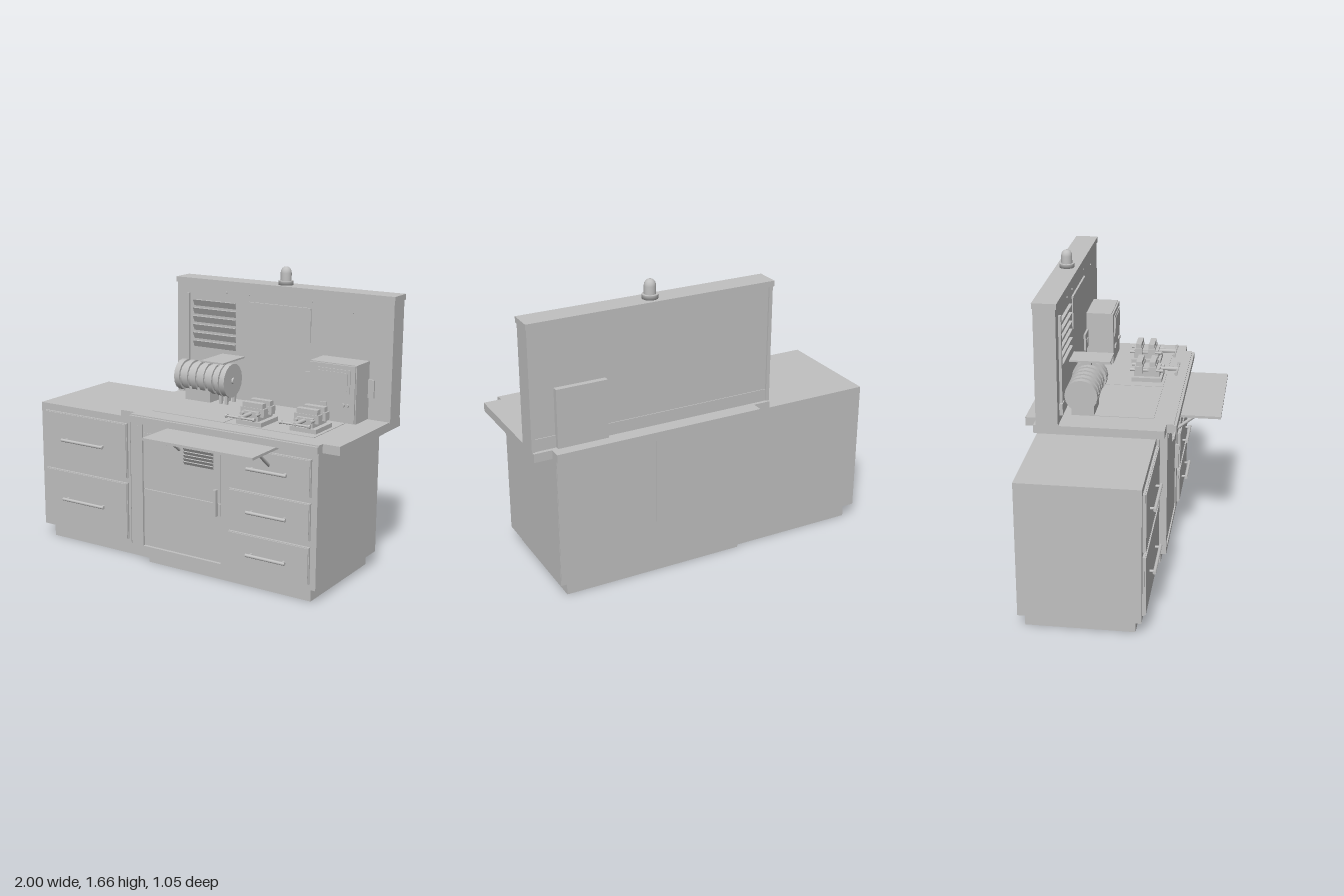
import * as THREE from 'three';

export function createModel() {
  const root = new THREE.Group();
  root.name = 'workbench';
  const grey = new THREE.MeshStandardMaterial({ color: 0xc0c0c0 });
  grey.name = 'light grey';

  const add = (name, geometry, parent = root) => {
    const mesh = new THREE.Mesh(geometry, grey);
    mesh.name = name;
    parent.add(mesh);
    return mesh;
  };
  // Box given by its lower and upper limits on each axis
  const box = (name, x0, x1, y0, y1, z0, z1, parent = root) => {
    const m = add(name, new THREE.BoxGeometry(x1 - x0, y1 - y0, z1 - z0), parent);
    m.position.set((x0 + x1) / 2, (y0 + y1) / 2, (z0 + z1) / 2);
    return m;
  };
  // Rod between two points
  const rod = (name, a, b, r, parent = root) => {
    const p = new THREE.Vector3(...a), q = new THREE.Vector3(...b);
    const m = add(name, new THREE.CylinderGeometry(r, r, p.distanceTo(q), 16), parent);
    m.position.copy(p).add(q).multiplyScalar(0.5);
    m.quaternion.setFromUnitVectors(new THREE.Vector3(0, 1, 0), q.sub(p).normalize());
    return m;
  };
  const group = (name) => {
    const g = new THREE.Group();
    g.name = name;
    root.add(g);
    return g;
  };
  // Drawer front with a softened edge and a bar handle
  const drawer = (x0, x1, y0, y1, z, hx0, hx1, hy) => {
    const g = group('drawer');
    box('drawerFront', x0, x1, y0, y1, z, z + 0.012, g);
    box('drawerFace', x0 + 0.004, x1 - 0.004, y0 + 0.004, y1 - 0.004, z + 0.01, z + 0.018, g);
    rod('handleBar', [hx0, hy, z + 0.045], [hx1, hy, z + 0.045], 0.009, g);
    for (const x of [hx0 + 0.02, hx1 - 0.02])
      rod('handlePost', [x, hy, z], [x, hy, z + 0.045], 0.007, g);
  };
  // Row of slanted slats facing downward
  const louvers = (name, x0, x1, yTop, count, pitch, h, d, z) => {
    const s = new THREE.Shape();
    s.moveTo(0, 0);
    s.lineTo(0, -h);
    s.lineTo(-d, 0);
    s.closePath();
    const g = group(name);
    for (let i = 0; i < count; i++) {
      const m = add('slat', new THREE.ExtrudeGeometry(s, { depth: x1 - x0, bevelEnabled: false }), g);
      m.rotation.y = Math.PI / 2;
      m.position.set(x0, yTop - i * pitch, z);
    }
  };

  // Side cabinet
  box('sidePlinth', -0.955, -0.22, 0, 0.08, -0.41, 0.165);
  box('sideCabinet', -1, -0.355, 0.08, 0.83, -0.44, 0.2);
  box('fillerCabinet', -0.355, -0.265, 0.08, 0.83, -0.44, 0.195);
  box('fillerPanel', -0.3, -0.27, 0.105, 0.79, 0.19, 0.21);
  drawer(-0.965, -0.37, 0.47, 0.79, 0.2, -0.82, -0.52, 0.635);
  drawer(-0.965, -0.37, 0.105, 0.44, 0.2, -0.82, -0.52, 0.275);

  // Main cabinet
  box('mainPlinth', -0.22, 0.825, 0, 0.08, -0.43, 0.215);
  box('mainCabinet', -0.265, 0.87, 0.08, 0.83, -0.456, 0.23);
  box('doorPost', -0.265, -0.235, 0.08, 0.83, 0.2, 0.25);
  box('drawerColumn', 0.285, 0.87, 0.08, 0.83, 0.2, 0.25);
  box('bottomRail', -0.235, 0.285, 0.08, 0.105, 0.2, 0.25);
  box('lowerDoor', -0.23, 0.28, 0.11, 0.443, 0.22, 0.243);
  box('upperDoor', -0.23, 0.28, 0.448, 0.82, 0.22, 0.246);
  box('doorLabel', -0.22, -0.07, 0.72, 0.77, 0.245, 0.249);
  box('doorHandle', 0.245, 0.262, 0.375, 0.525, 0.24, 0.268);
  louvers('doorVent', 0.045, 0.235, 0.745, 6, 0.019, 0.018, 0.012, 0.246);
  for (const [y0, y1, hy] of [[0.585, 0.788, 0.69], [0.35, 0.553, 0.45], [0.11, 0.315, 0.21]])
    drawer(0.34, 0.835, y0, y1, 0.25, 0.47, 0.71, hy);
  box('backPanelRight', -0.263, 0.308, 0.082, 0.83, -0.46, -0.455);
  box('backPanelLeft', 0.312, 0.868, 0.082, 0.83, -0.46, -0.455);

  // Worktop with narrower front and rear lips
  box('worktop', -0.383, 0.988, 0.83, 0.878, -0.46, 0.245);
  box('frontLip', -0.285, 0.89, 0.828, 0.878, 0.24, 0.285);
  box('frontEdge', -0.285, 0.89, 0.835, 0.872, 0.28, 0.3);
  box('rearLip', -0.285, 0.89, 0.83, 0.878, -0.523, -0.45);
  box('leftMat', -0.22, 0.25, 0.877, 0.881, -0.26, 0.17);
  box('rightMat', 0.255, 0.8, 0.877, 0.881, -0.26, 0.17);

  // Pull-out tray and braces
  box('tray', -0.035, 0.645, 0.818, 0.832, 0.24, 0.522);
  for (const x of [0.015, 0.588])
    rod('trayBrace', [x, 0.815, 0.38], [x, 0.71, 0.25], 0.009);

  // Backboard
  box('backboard', -0.387, 0.992, 0.87, 1.53, -0.435, -0.325);
  box('backboardCap', -0.392, 0.997, 1.527, 1.558, -0.45, -0.318);
  for (const x of [-0.387, 0.972]) box('backboardEdge', x, x + 0.02, 0.87, 1.53, -0.445, -0.43);
  box('backboardRail', -0.367, 0.972, 0.87, 0.945, -0.44, -0.43);
  louvers('boardVent', -0.27, 0.015, 1.435, 6, 0.048, 0.036, 0.018, -0.325);
  box('noticePanel', 0.1, 0.5, 1.26, 1.45, -0.326, -0.318);
  box('noticeRail', 0.1, 0.5, 1.44, 1.452, -0.326, -0.314);
  box('rulerPole', -0.318, -0.298, 0.93, 1.47, -0.326, -0.31);
  box('rulerFoot', -0.336, -0.28, 0.92, 0.985, -0.326, -0.306);
  for (const [x, y] of [[0.1, 1.49], [0.5, 1.49], [0.75, 1.45], [-0.05, 1.49]])
    rod('boardScrew', [x, y, -0.326], [x, y, -0.32], 0.006);

  // Beacon lamp
  const beacon = add('beacon', new THREE.LatheGeometry([
    [0, 0], [0.042, 0], [0.042, 0.025], [0.042, 0.025], [0.031, 0.026], [0.031, 0.026],
    [0.031, 0.068], [0.029, 0.082], [0.022, 0.094], [0.012, 0.101], [0, 0.103],
  ].map(([r, y]) => new THREE.Vector2(r, y)), 32));
  beacon.position.set(0.302, 1.556, -0.386);

  // Control box through the backboard
  const control = group('controlBox');
  box('housing', 0.58, 0.86, 0.88, 1.2, -0.465, -0.175, control);
  box('frontBezel', 0.585, 0.855, 0.885, 1.195, -0.18, -0.165, control);
  box('mountPlate', 0.475, 0.895, 1.0, 1.1, -0.33, -0.313, control);
  box('mountClip', 0.51, 0.545, 1.04, 1.062, -0.315, -0.308, control);
  box('screenFrame', 0.62, 0.828, 1.045, 1.172, -0.168, -0.16, control);
  box('screen', 0.635, 0.813, 1.06, 1.157, -0.162, -0.156, control);
  box('socket', 0.645, 0.69, 0.965, 0.985, -0.168, -0.157, control);
  for (const x of [0.79, 0.815])
    rod('button', [x, 0.98, -0.168], [x, 0.98, -0.155], 0.01, control);

  // Ribbed motor with grinding discs and a guard plate
  const motor = group('motor');
  const my = 1.012, mz = -0.217;
  rod('motorBarrel', [-0.275, my, mz], [0, my, mz], 0.078, motor);
  for (const x of [-0.28, -0.225, -0.17, -0.115, -0.06])
    rod('motorRib', [x, my, mz], [x + 0.035, my, mz], 0.09, motor);
  box('motorFoot', -0.22, -0.05, 0.878, 0.96, -0.28, -0.155, motor);
  rod('motorShaft', [-0.02, my, mz], [0.075, my, mz], 0.018, motor);
  for (const [x0, x1] of [[0, 0.024], [0.032, 0.064]])
    rod('disc', [x0, my, mz], [x1, my, mz], 0.098, motor);
  for (const x of [0.005, 0.042])
    for (const z of [-0.265, -0.185])
      box('discLeg', x, x + 0.015, 0.878, 0.96, z, z + 0.02, motor);
  box('guardPlate', -0.07, 0.08, 1.128, 1.137, -0.315, -0.088, motor);
  box('guardBracket', -0.03, 0.0, 1.06, 1.13, -0.26, -0.2, motor);

  // Bench vises
  for (const [x, dz] of [[0.397, 0], [0.702, -0.04]]) {
    const v = group('vise');
    box('viseBase', -0.078, 0.078, 0.878, 0.905, -0.02, 0.155, v);
    box('viseBody', -0.05, 0.05, 0.9, 0.955, -0.01, 0.14, v);
    for (const z of [0, 0.078]) {
      box('viseJaw', -0.072, 0.072, 0.925, 0.97, z, z + 0.042, v);
      box('jawTop', -0.062, 0.062, 0.965, 0.997, z + 0.004, z + 0.038, v);
    }
    for (const s of [-1, 1])
      rod('guideRod', [s * 0.045, 0.942, -0.032], [s * 0.045, 0.942, 0.16], 0.009, v);
    rod('viseScrew', [0, 0.942, 0], [0, 0.942, 0.245], 0.011, v);
    rod('viseHandle', [-0.085, 0.942, 0.24], [0.085, 0.942, 0.24], 0.006, v);
    for (const s of [-1, 1])
      rod('handleKnob', [s * 0.078, 0.942, 0.24], [s * 0.09, 0.942, 0.24], 0.01, v);
    v.position.set(x, 0, dz);
  }

  return root;
}
